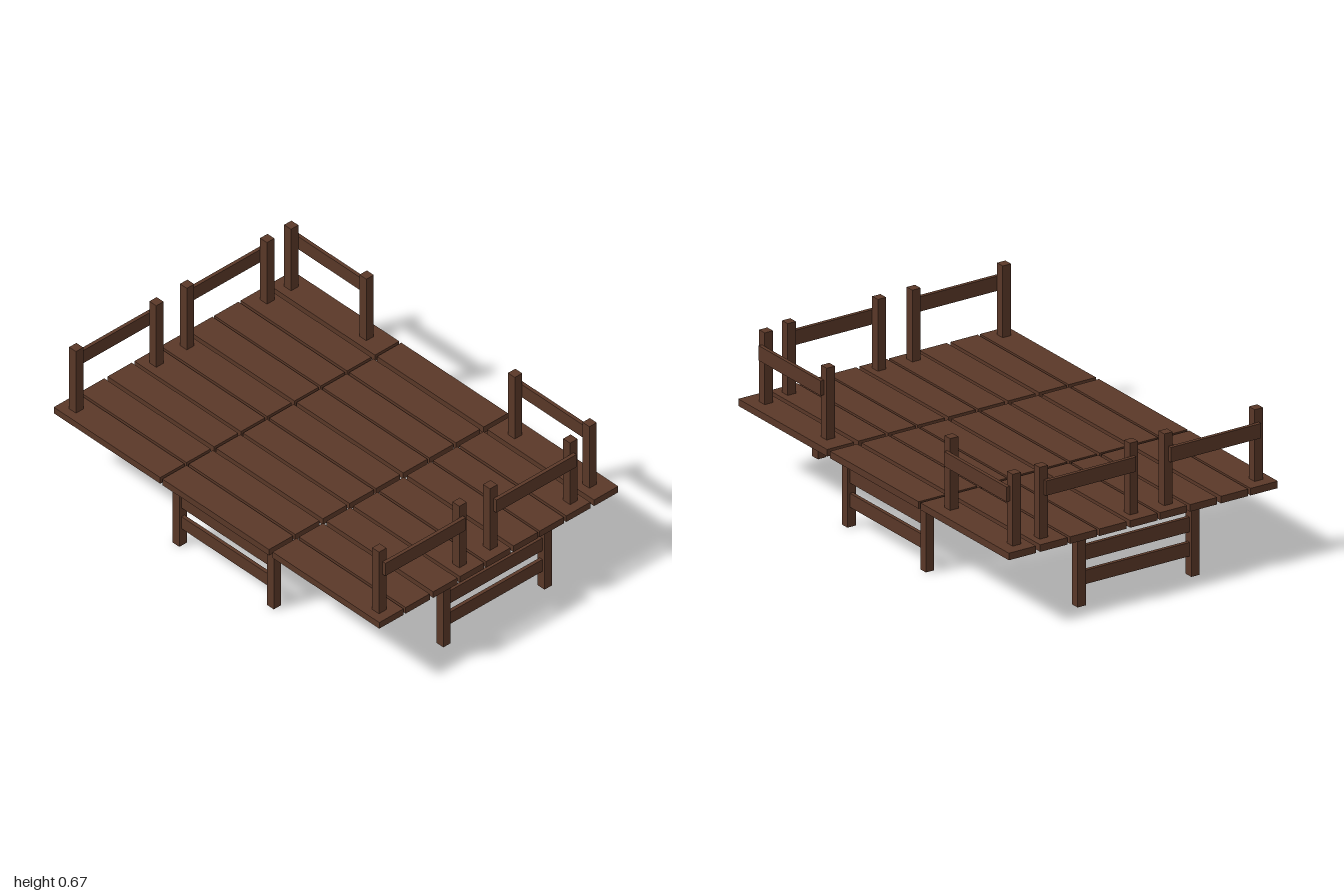
import * as THREE from 'three';

const POST = 0.042;   // square post thickness
const BOARD = 0.017;  // rail board thickness
const DECK_Y = 0.31, DECK_TOP = 0.342;

export function createModel() {
  const model = new THREE.Group();
  model.name = 'woodenDeck';
  const wood = new THREE.MeshStandardMaterial({ color: 0x5a3828, flatShading: true });

  // Box given by its minimum and maximum corners
  function box(parent, name, [x0, y0, z0], [x1, y1, z1]) {
    const mesh = new THREE.Mesh(new THREE.BoxGeometry(x1 - x0, y1 - y0, z1 - z0), wood);
    mesh.position.set((x0 + x1) / 2, (y0 + y1) / 2, (z0 + z1) / 2);
    mesh.name = name;
    parent.add(mesh);
  }

  // Two posts joined by boards: a and b are the post centres along the run,
  // c is the centre across it, boardC the board's centre across it.
  function frame(name, alongX, a, b, c, boardC, [y0, y1], boards, inset) {
    const group = new THREE.Group();
    group.name = name;
    const place = (part, s0, s1, t, thick, yLow, yHigh) => {
      const lo = t - thick / 2, hi = t + thick / 2;
      if (alongX) box(group, part, [s0, yLow, lo], [s1, yHigh, hi]);
      else box(group, part, [lo, yLow, s0], [hi, yHigh, s1]);
    };
    for (const s of [a, b]) place('post', s - POST / 2, s + POST / 2, c, POST, y0, y1);
    for (const [lo, hi] of boards) place('board', a + inset, b - inset, boardC, BOARD, lo, hi);
    model.add(group);
  }

  // Deck: nine slightly uneven columns of planks in three rows
  const columns = [-0.613, -0.463, -0.306, -0.153, -0.003, 0.153, 0.302, 0.453, 0.612];
  const rows = [[-1, -0.346], [-0.333, 0.322], [0.344, 1]];
  for (const x of columns)
    for (const [z0, z1] of rows)
      box(model, 'deckPlank', [x - 0.069, DECK_Y, z0], [x + 0.069, DECK_TOP, z1]);

  // Railings: the board is fixed to the outside of its posts
  const railY = [DECK_TOP, 0.668], railBoard = [[0.54, 0.607]];
  const outside = (POST + BOARD) / 2;
  for (const [a, b] of [[-0.621, -0.163], [0.012, 0.469]]) {
    frame('frontRailing', true, a, b, 0.934, 0.934 + outside, railY, railBoard, 0);
    frame('backRailing', true, a, b, -0.928, -0.928 - outside, railY, railBoard, 0);
  }
  for (const [a, b] of [[0.449, 0.907], [-0.926, -0.463]])
    frame('leftRailing', false, a, b, 0.604, 0.604 + outside, railY, railBoard, 0);

  // Leg frames: two boards set between the legs
  const legY = [0, DECK_Y], legBoards = [[0.09, 0.153], [0.2, 0.267]];
  for (const z of [0.963, -0.956])
    frame('endLegs', true, -0.281, 0.296, z, z, legY, legBoards, POST / 2);
  for (const x of [-0.624, 0.607])
    frame('sideLegs', false, -0.289, 0.291, x, x, legY, legBoards, POST / 2);

  return model;
}
